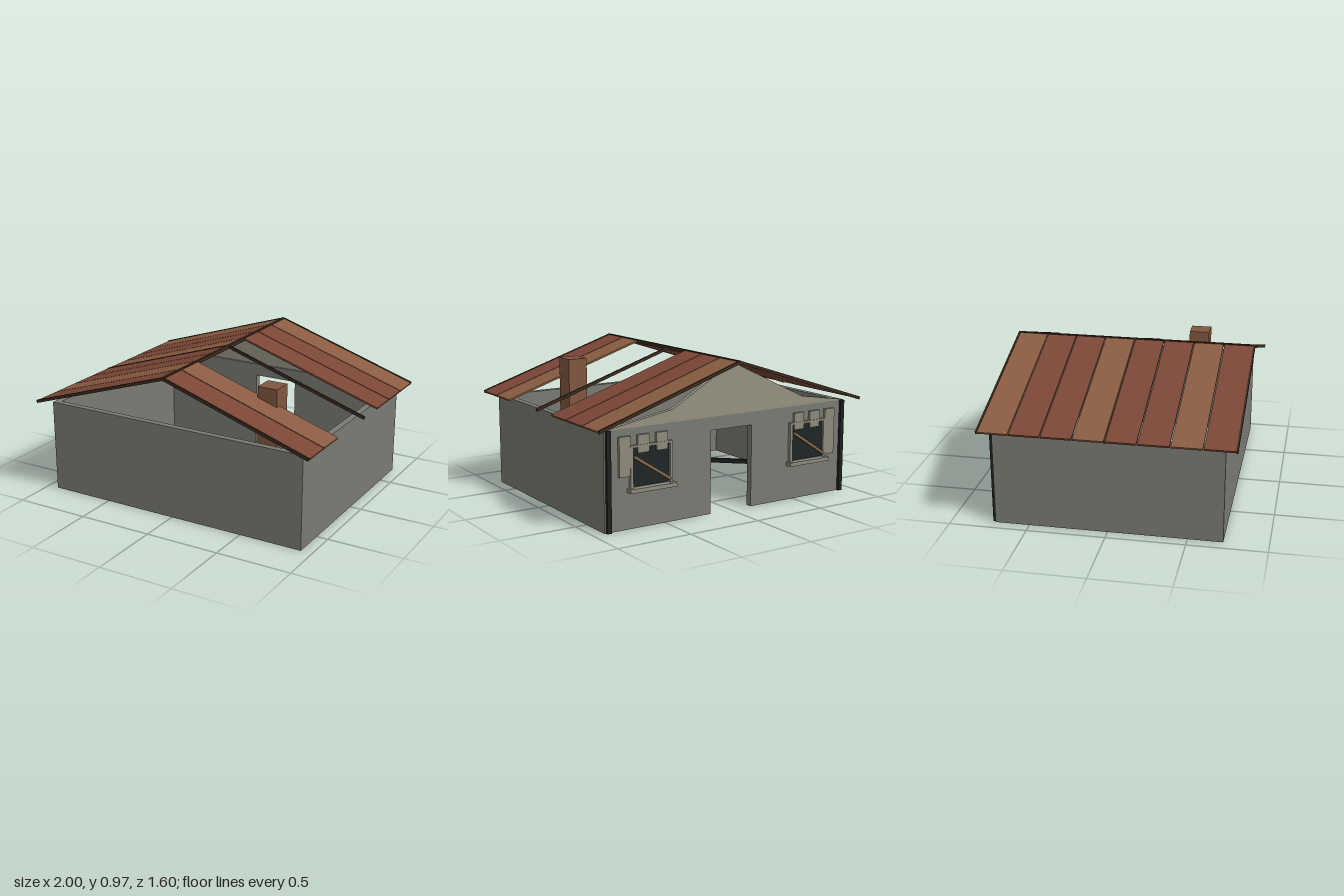
import * as THREE from 'three';

const mat = (color) => new THREE.MeshStandardMaterial({ color, flatShading: true });
const M = {
  wall: mat(0x7a7b73), gable: mat(0x969281), tileDark: mat(0x7b4736), tileLight: mat(0x8a5c42),
  beam: mat(0x3a2a1e), char: mat(0x1e2020), glass: mat(0x1f2626), board: mat(0x8f8a7c),
  plank: mat(0x86694a), brick: mat(0x80573f),
};

// box given by its minimum and maximum corners
function block(parent, name, material, [x0, y0, z0], [x1, y1, z1]) {
  const mesh = new THREE.Mesh(new THREE.BoxGeometry(x1 - x0, y1 - y0, z1 - z0), material);
  mesh.position.set((x0 + x1) / 2, (y0 + y1) / 2, (z0 + z1) / 2);
  mesh.name = name;
  parent.add(mesh);
  return mesh;
}

// upright slab cut from an outline in x and y
function slab(parent, name, material, points, z, depth) {
  const shape = new THREE.Shape(points.map(([x, y]) => new THREE.Vector2(x, y)));
  const mesh = new THREE.Mesh(new THREE.ExtrudeGeometry(shape, { depth, bevelEnabled: false }), material);
  mesh.position.z = z;
  mesh.name = name;
  parent.add(mesh);
}

// bar stretched between two points
function bar(parent, name, material, a, b, w, h) {
  const p = new THREE.Vector3(...a), q = new THREE.Vector3(...b);
  const mesh = new THREE.Mesh(new THREE.BoxGeometry(w, h, p.distanceTo(q)), material);
  mesh.position.copy(p).add(q).multiplyScalar(0.5);
  mesh.lookAt(q);
  mesh.name = name;
  parent.add(mesh);
}

function walls() {
  const g = new THREE.Group();
  g.name = 'walls';
  const X = 0.925, Z = 0.72, H = 0.62, T = 0.042;
  block(g, 'frontWall', M.wall, [-X, 0, Z - T], [X, H, Z]);
  for (const s of [-1, 1]) {
    const [a, b] = s > 0 ? [X - T, X] : [-X, T - X];
    block(g, 'sideWall', M.wall, [a, 0, T - Z], [b, H, Z - T]);
    block(g, 'cornerPost', M.char, [s * 0.9 - 0.015, 0, -Z - 0.018], [s * 0.9 + 0.015, H, -Z]);
  }
  // back wall with open doorway
  slab(g, 'backWall', M.wall, [[-X, 0], [-0.155, 0], [-0.155, 0.535], [0.16, 0.535], [0.16, 0], [X, 0], [X, H], [-X, H]], -Z, T);
  // broken gable above it
  slab(g, 'backGable', M.gable, [[-X, H], [X, H], [0.44, 0.7], [0, 0.95], [-0.56, 0.68]], -Z, 0.03);
  return g;
}

function boardedWindow(side, shutterBottom) {
  const g = new THREE.Group();
  g.name = 'window';
  const cx = side * 0.605, z = -0.72;
  block(g, 'pane', M.glass, [cx - 0.135, 0.26, z - 0.008], [cx + 0.135, 0.51, z]);
  for (const s of [-1, 1])
    block(g, 'frameUpright', M.board, [cx + s * 0.14 - 0.01, 0.255, z - 0.022], [cx + s * 0.14 + 0.01, 0.51, z]);
  block(g, 'frameTop', M.board, [cx - 0.15, 0.5, z - 0.022], [cx + 0.15, 0.515, z]);
  block(g, 'sill', M.board, [cx - 0.165, 0.23, z - 0.045], [cx + 0.165, 0.255, z]);
  // remaining shutter slats: two short stubs and one long outer one
  for (const [x, bottom] of [[0.53, 0.465], [0.66, 0.465], [0.79, shutterBottom]])
    block(g, 'shutterSlat', M.board, [side * x - 0.04, bottom, z - 0.018], [side * x + 0.04, 0.575, z]);
  // plank nailed across
  bar(g, 'crossPlank', M.plank, [cx + 0.13, 0.45, z - 0.03], [cx - 0.13, 0.28, z - 0.03], 0.012, 0.018);
  return g;
}

function roof() {
  const g = new THREE.Group();
  g.name = 'roof';
  const ridge = 0.957, eave = 0.634, step = 0.198;
  const light = { '-1': [0, 3, 6], 1: [0, 6] };
  const missing = { '-1': [], 1: [3, 4, 5] };
  for (const s of [-1, 1]) {
    for (let i = 0; i < 8; i++) {
      if (missing[s].includes(i)) continue;
      const z = (i - 3.5) * step;
      bar(g, 'roofPanel', light[s].includes(i) ? M.tileLight : M.tileDark,
        [0, ridge, z], [s * 0.997, eave, z], step - 0.007, 0.012);
    }
    for (const z of [-0.792, 0, 0.792])
      bar(g, 'rafter', M.beam, [0, ridge, z], [s * 0.997, eave, z], 0.012, 0.02);
  }
  block(g, 'ridgeBeam', M.beam, [-0.009, ridge - 0.014, -0.798], [0.009, ridge + 0.009, 0.798]);
  return g;
}

export function createModel() {
  const model = new THREE.Group();
  model.name = 'ruinedHouse';
  model.add(walls(), boardedWindow(1, 0.33), boardedWindow(-1, 0.27), roof());
  block(model, 'chimney', M.brick, [0.465, 0.42, 0.302], [0.6, 0.885, 0.438]);
  bar(model, 'fallenBeam', M.char, [-0.777, 0.045, 0.092], [-0.353, 0.03, 0.563], 0.03, 0.03);
  return model;
}
